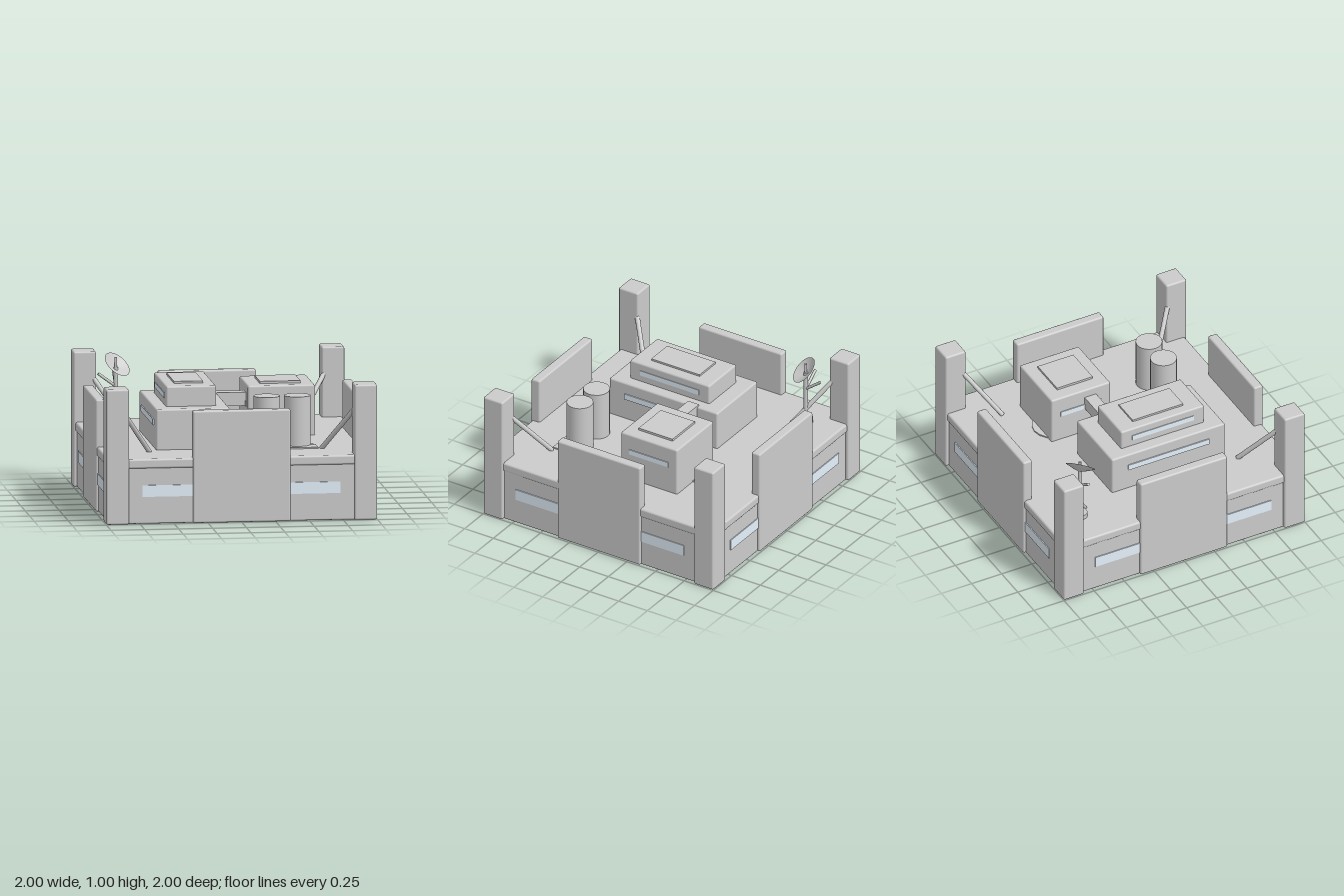
import * as THREE from 'three';
import { RoundedBoxGeometry } from 'three/addons/geometries/RoundedBoxGeometry.js';

const grey = new THREE.MeshStandardMaterial({ color: 0xcccccc });
const thin = new THREE.MeshStandardMaterial({ color: 0xcccccc, side: THREE.DoubleSide });
const glass = new THREE.MeshStandardMaterial({ color: 0xe4f1fb });

function add(parent, name, geometry, material = grey) {
  const mesh = new THREE.Mesh(geometry, material);
  mesh.name = name;
  parent.add(mesh);
  return mesh;
}

// Box given by its extents; bevel = 0 gives sharp edges
function block(parent, name, [x0, x1], [y0, y1], [z0, z1], bevel = 0, material = grey) {
  const size = [x1 - x0, y1 - y0, z1 - z0];
  const geometry = bevel ? new RoundedBoxGeometry(...size, 2, bevel) : new THREE.BoxGeometry(...size);
  const mesh = add(parent, name, geometry, material);
  mesh.position.set((x0 + x1) / 2, (y0 + y1) / 2, (z0 + z1) / 2);
  return mesh;
}

// Cylinder between two points
function rod(parent, name, a, b, radius, sides = 12) {
  const start = new THREE.Vector3(...a), end = new THREE.Vector3(...b);
  const dir = end.clone().sub(start);
  const mesh = add(parent, name, new THREE.CylinderGeometry(radius, radius, dir.length(), sides));
  mesh.position.copy(start).add(end).multiplyScalar(0.5);
  mesh.quaternion.setFromUnitVectors(new THREE.Vector3(0, 1, 0), dir.normalize());
  return mesh;
}

function group(parent, name) {
  const g = new THREE.Group();
  g.name = name;
  parent.add(g);
  return g;
}

export function createModel() {
  const model = new THREE.Group();
  model.name = 'fortifiedOutpost';
  const deck = 0.48;

  // Base and roof deck
  block(model, 'base', [-0.975, 0.975], [0, 0.43], [-0.975, 0.975], 0.012);
  block(model, 'deck', [-0.985, 0.985], [0.41, deck], [-0.985, 0.985], 0.015);

  // Each side: armour panel, window strip, corner tower and its brace
  for (let i = 0; i < 4; i++) {
    const side = group(model, 'wallSide');
    side.rotation.y = i * Math.PI / 2;
    block(side, 'armourPanel', [-0.36, 0.36], [0, 0.83], [0.92, 0.995], 0.014);
    block(side, 'wallWindow', [-0.73, 0.73], [0.2, 0.285], [0.95, 0.982], 0, glass);
    block(side, 'cornerTower', [0.832, 1], [0, 1], [0.832, 1], 0.014);
    rod(side, 'towerBrace', [0.85, 0.8, 0.85], [0.635, 0.48, 0.635], 0.018);
  }

  // Two-storey main building with windows on both long sides
  const main = group(model, 'mainBuilding');
  block(main, 'lowerStorey', [-0.575, -0.03], [deck - 0.01, 0.78], [-0.375, 0.565], 0.014);
  block(main, 'upperStorey', [-0.485, -0.115], [0.76, 0.93], [-0.25, 0.44], 0.014);
  block(main, 'roofPlate', [-0.41, -0.195], [0.92, 0.945], [-0.115, 0.305]);
  block(main, 'lowerWindows', [-0.583, -0.022], [0.645, 0.69], [-0.24, 0.43], 0, glass);
  block(main, 'upperWindows', [-0.49, -0.11], [0.83, 0.87], [-0.16, 0.35], 0, glass);

  // Smaller building and the passage joining the two
  const annex = group(model, 'annex');
  block(annex, 'annexBody', [0.175, 0.67], [deck - 0.01, 0.855], [-0.475, 0.015], 0.014);
  block(annex, 'annexRoofPlate', [0.275, 0.575], [0.845, 0.872], [-0.375, -0.08]);
  block(annex, 'annexWindows', [0.169, 0.676], [0.69, 0.73], [-0.4, -0.06], 0, glass);
  block(model, 'passage', [-0.055, 0.18], [0.69, 0.79], [-0.2, -0.105]);
  rod(model, 'floorDisc', [0.345, 0.475, -0.37], [0.345, 0.49, -0.37], 0.157, 16);

  // Storage tanks and the small hatch beside them
  for (const x of [0.25, 0.475]) rod(model, 'tank', [x, deck, 0.495], [x, 0.855, 0.495], 0.098, 24);
  block(model, 'hatch', [0.385, 0.61], [deck - 0.01, 0.49], [0.5, 0.645]);
  add(model, 'hatchKnob', new THREE.SphereGeometry(0.012, 12, 8)).position.set(0.58, 0.49, 0.515);

  // Dish antenna on a mast with two stays
  const antenna = group(model, 'antenna');
  const [mx, mz] = [-0.705, -0.71];
  rod(antenna, 'mastFoot', [mx, deck, mz], [mx, 0.515, mz], 0.055, 16);
  rod(antenna, 'mast', [mx, deck, mz], [mx, 0.9, mz], 0.016);
  rod(antenna, 'stay', [mx, 0.76, mz], [-0.835, 0.855, mz], 0.011);
  rod(antenna, 'stay', [mx, 0.76, mz], [mx, 0.855, -0.835], 0.011);
  rod(antenna, 'feed', [mx, 0.89, mz], [mx, 0.975, mz], 0.01);
  const profile = [[0, 0], [0.06, 0.02], [0.11, 0.042]].map(p => new THREE.Vector2(...p));
  const dish = add(antenna, 'dish', new THREE.LatheGeometry(profile, 24), thin);
  dish.position.set(-0.716, 0.893, -0.721);
  dish.quaternion.setFromUnitVectors(new THREE.Vector3(0, 1, 0), new THREE.Vector3(0.5, 0.707, 0.5).normalize());

  return model;
}
